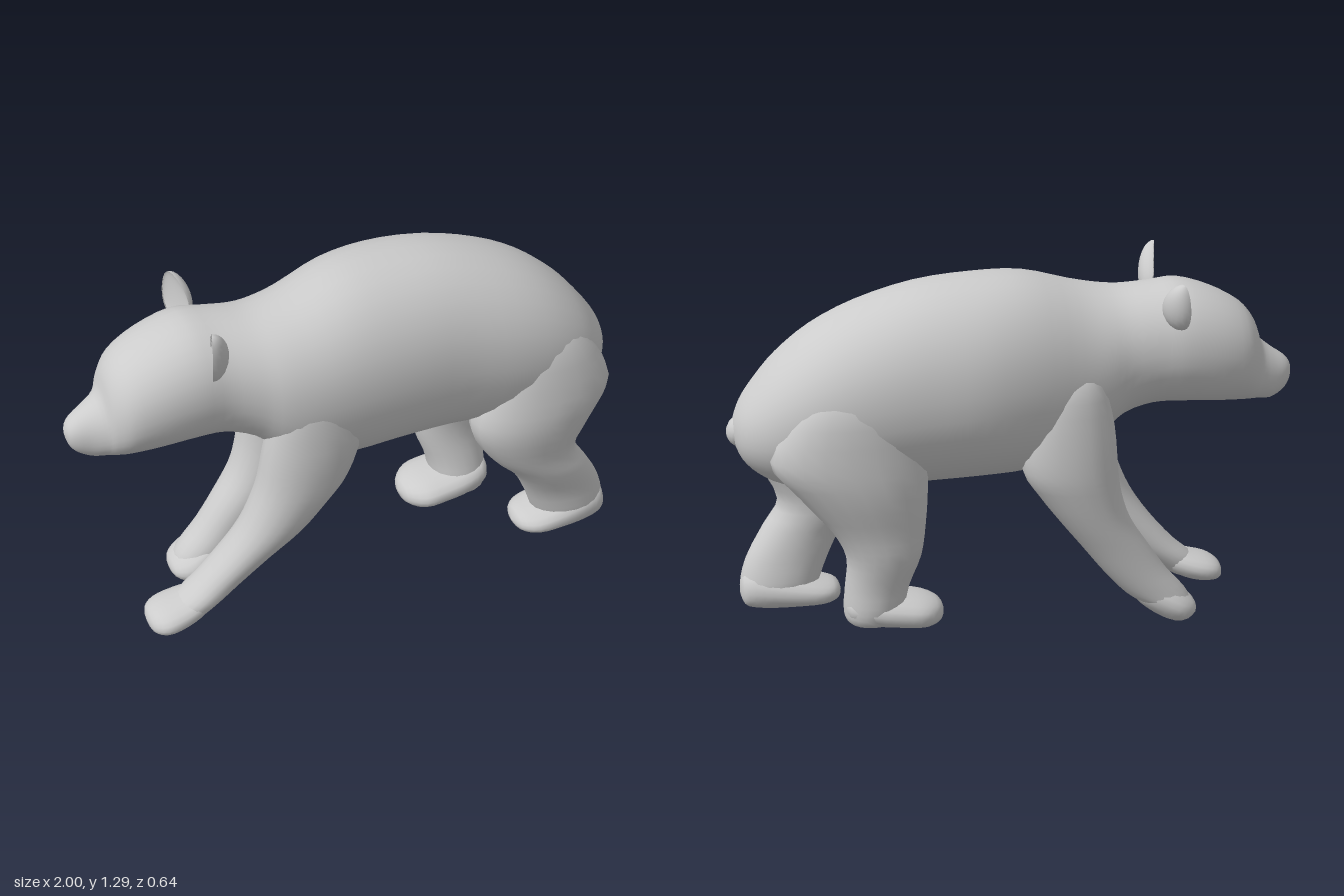
import * as THREE from 'three';

const material = new THREE.MeshStandardMaterial({ color: 0xcccccc });

function addMesh(parent, name, geometry) {
  const mesh = new THREE.Mesh(geometry, material);
  mesh.name = name;
  parent.add(mesh);
  return mesh;
}

// Smooth loft through oval sections.
// axis 'x': rows are [x, yLow, yHigh, zLow, zHigh], x rising
// axis 'y': rows are [y, xLow, xHigh, zLow, zHigh], y falling
function loft(axis, rows, sides = 24, steps = 3, power = 0.95) {
  const columns = rows[0].map((_, c) =>
    new THREE.SplineCurve(rows.map((row, k) => new THREE.Vector2(k, row[c]))));
  const count = (rows.length - 1) * steps;
  const positions = [], index = [];
  const bend = v => Math.sign(v) * Math.pow(Math.abs(v), power);
  for (let i = 0; i <= count; i++) {
    const [s, lo, hi, zLo, zHi] = columns.map(c => c.getPoint(i / count).y);
    for (let j = 0; j < sides; j++) {
      const a = (j / sides) * Math.PI * 2;
      const t = (lo + hi) / 2 + ((hi - lo) / 2) * bend(Math.sin(a));
      const z = (zLo + zHi) / 2 + ((zHi - zLo) / 2) * bend(Math.cos(a));
      if (axis === 'x') positions.push(s, t, z);
      else positions.push(t, s, z);
      if (i < count) {
        const p = i * sides + j, q = i * sides + ((j + 1) % sides);
        index.push(p, p + sides, q + sides, p, q + sides, q);
      }
    }
  }
  const geometry = new THREE.BufferGeometry();
  geometry.setAttribute('position', new THREE.Float32BufferAttribute(positions, 3));
  geometry.setIndex(index);
  geometry.computeVertexNormals();
  return geometry;
}

// Cupped ear opening towards the face
function earGeometry() {
  const geometry = new THREE.SphereGeometry(1, 20, 14);
  const p = geometry.attributes.position;
  for (let i = 0; i < p.count; i++) {
    const x = p.getX(i), y = p.getY(i), z = p.getZ(i);
    const taper = 1 - 0.3 * y; // narrower towards the tip
    p.setXYZ(i, x < 0 ? -0.25 * x : x, y, z * taper);
  }
  geometry.computeVertexNormals();
  return geometry;
}

export function createModel() {
  const bear = new THREE.Group();
  bear.name = 'bear';

  // Head, neck and trunk in one skin
  addMesh(bear, 'body', loft('x', [
    [-1.0, 0.87, 0.87, 0.03, 0.03],
    [-0.99, 0.825, 0.9, -0.005, 0.065],
    [-0.965, 0.79, 0.925, -0.03, 0.085],
    [-0.92, 0.765, 0.955, -0.05, 0.105],
    [-0.875, 0.765, 0.995, -0.07, 0.135],
    [-0.85, 0.765, 1.065, -0.1, 0.165],
    [-0.8, 0.768, 1.125, -0.145, 0.205],
    [-0.7, 0.772, 1.18, -0.175, 0.23],
    [-0.58, 0.778, 1.215, -0.185, 0.24],
    [-0.48, 0.775, 1.205, -0.175, 0.24],
    [-0.38, 0.74, 1.195, -0.175, 0.265],
    [-0.3, 0.67, 1.2, -0.195, 0.295],
    [-0.2, 0.6, 1.22, -0.225, 0.31],
    [-0.03, 0.565, 1.265, -0.28, 0.31],
    [0.15, 0.56, 1.27, -0.315, 0.3],
    [0.35, 0.555, 1.25, -0.315, 0.285],
    [0.55, 0.545, 1.19, -0.305, 0.285],
    [0.7, 0.55, 1.115, -0.28, 0.27],
    [0.82, 0.57, 1.02, -0.235, 0.235],
    [0.9, 0.61, 0.93, -0.18, 0.185],
    [0.95, 0.66, 0.86, -0.12, 0.125],
    [0.975, 0.72, 0.8, -0.05, 0.05],
    [0.98, 0.76, 0.76, 0, 0],
  ], 32));

  // Stub tail
  const tail = addMesh(bear, 'tail', new THREE.SphereGeometry(1, 14, 10));
  tail.scale.set(0.05, 0.055, 0.06);
  tail.position.set(0.95, 0.755, 0);
  tail.rotation.z = 0.3;

  // Ears: the head is tipped, so the left and right ears sit differently
  for (const [name, position, scale, rotation] of [
    ['nearEar', [-0.545, 1.19, 0.235], [0.055, 0.115, 0.062], [0.5, -0.25, 0.12]],
    ['farEar', [-0.535, 1.165, -0.175], [0.05, 0.085, 0.065], [-0.45, 0.4, 0.1]],
  ]) {
    const ear = addMesh(bear, name, earGeometry());
    ear.position.set(...position);
    ear.scale.set(...scale);
    ear.rotation.set(...rotation);
  }

  // Legs in mid stride, each with its paw
  const legs = {
    nearFrontLeg: {
      limb: [
        [1.0, -0.24, -0.16, 0.2, 0.24], [0.92, -0.32, -0.08, 0.12, 0.3],
        [0.75, -0.36, -0.02, 0.08, 0.32], [0.6, -0.385, -0.06, 0.07, 0.315],
        [0.5, -0.415, -0.13, 0.07, 0.305], [0.4, -0.46, -0.22, 0.075, 0.29],
        [0.3, -0.53, -0.335, 0.075, 0.265], [0.2, -0.62, -0.445, 0.075, 0.245],
        [0.13, -0.7, -0.53, 0.08, 0.24], [0.07, -0.73, -0.61, 0.1, 0.22],
        [0.05, -0.68, -0.66, 0.15, 0.17]],
      paw: [
        [-0.8, 0.075, 0.075, 0.15, 0.15], [-0.79, 0.045, 0.105, 0.09, 0.21],
        [-0.75, 0.035, 0.13, 0.06, 0.25], [-0.68, 0.045, 0.15, 0.06, 0.25],
        [-0.6, 0.08, 0.17, 0.09, 0.23], [-0.55, 0.14, 0.17, 0.14, 0.18]],
    },
    farFrontLeg: {
      limb: [
        [0.98, -0.22, -0.14, -0.18, -0.14], [0.9, -0.28, -0.06, -0.24, -0.08],
        [0.75, -0.32, 0.0, -0.26, -0.04], [0.6, -0.335, 0.0, -0.265, -0.03],
        [0.5, -0.35, -0.06, -0.255, -0.03], [0.4, -0.385, -0.135, -0.24, -0.03],
        [0.3, -0.45, -0.215, -0.225, -0.03], [0.2, -0.52, -0.295, -0.215, -0.035],
        [0.12, -0.59, -0.37, -0.21, -0.035], [0.07, -0.61, -0.45, -0.205, -0.045],
        [0.03, -0.58, -0.52, -0.16, -0.08]],
      paw: [
        [-0.63, 0.05, 0.05, -0.12, -0.12], [-0.62, 0.025, 0.08, -0.18, -0.06],
        [-0.57, 0.0, 0.12, -0.22, -0.02], [-0.5, 0.02, 0.16, -0.215, -0.02],
        [-0.43, 0.07, 0.18, -0.19, -0.05], [-0.39, 0.12, 0.16, -0.14, -0.1]],
    },
    nearHindLeg: {
      limb: [
        [0.98, 0.62, 0.72, 0.16, 0.2], [0.88, 0.52, 0.85, 0.06, 0.27],
        [0.7, 0.44, 0.945, 0.03, 0.305], [0.57, 0.42, 0.885, 0.04, 0.31],
        [0.44, 0.49, 0.825, 0.065, 0.29], [0.34, 0.59, 0.88, 0.075, 0.28],
        [0.23, 0.65, 0.945, 0.07, 0.255], [0.13, 0.69, 0.97, 0.06, 0.25],
        [0.07, 0.73, 0.955, 0.08, 0.23], [0.05, 0.83, 0.87, 0.14, 0.17]],
      paw: [
        [0.61, 0.09, 0.09, 0.155, 0.155], [0.625, 0.065, 0.125, 0.09, 0.22],
        [0.68, 0.05, 0.145, 0.05, 0.26], [0.78, 0.045, 0.17, 0.045, 0.265],
        [0.89, 0.045, 0.19, 0.06, 0.25], [0.955, 0.06, 0.18, 0.09, 0.22],
        [0.97, 0.12, 0.12, 0.155, 0.155]],
    },
    farHindLeg: {
      limb: [
        [0.98, 0.54, 0.64, -0.22, -0.18], [0.88, 0.42, 0.78, -0.3, -0.07],
        [0.7, 0.34, 0.87, -0.32, -0.03], [0.57, 0.335, 0.78, -0.315, -0.04],
        [0.44, 0.345, 0.67, -0.29, -0.075], [0.34, 0.36, 0.62, -0.28, -0.08],
        [0.23, 0.4, 0.625, -0.26, -0.06], [0.14, 0.42, 0.63, -0.255, -0.04],
        [0.09, 0.45, 0.615, -0.23, -0.05], [0.075, 0.52, 0.55, -0.16, -0.12]],
      paw: [
        [0.28, 0.11, 0.11, -0.135, -0.135], [0.295, 0.075, 0.145, -0.2, -0.07],
        [0.35, 0.06, 0.17, -0.255, -0.015], [0.43, 0.065, 0.185, -0.265, -0.01],
        [0.53, 0.075, 0.2, -0.255, -0.02], [0.61, 0.1, 0.2, -0.22, -0.06],
        [0.63, 0.15, 0.15, -0.14, -0.14]],
    },
  };
  for (const [name, { limb, paw }] of Object.entries(legs)) {
    const leg = new THREE.Group();
    leg.name = name;
    addMesh(leg, 'limb', loft('y', limb, 20));
    addMesh(leg, 'paw', loft('x', paw, 18));
    bear.add(leg);
  }

  return bear;
}
